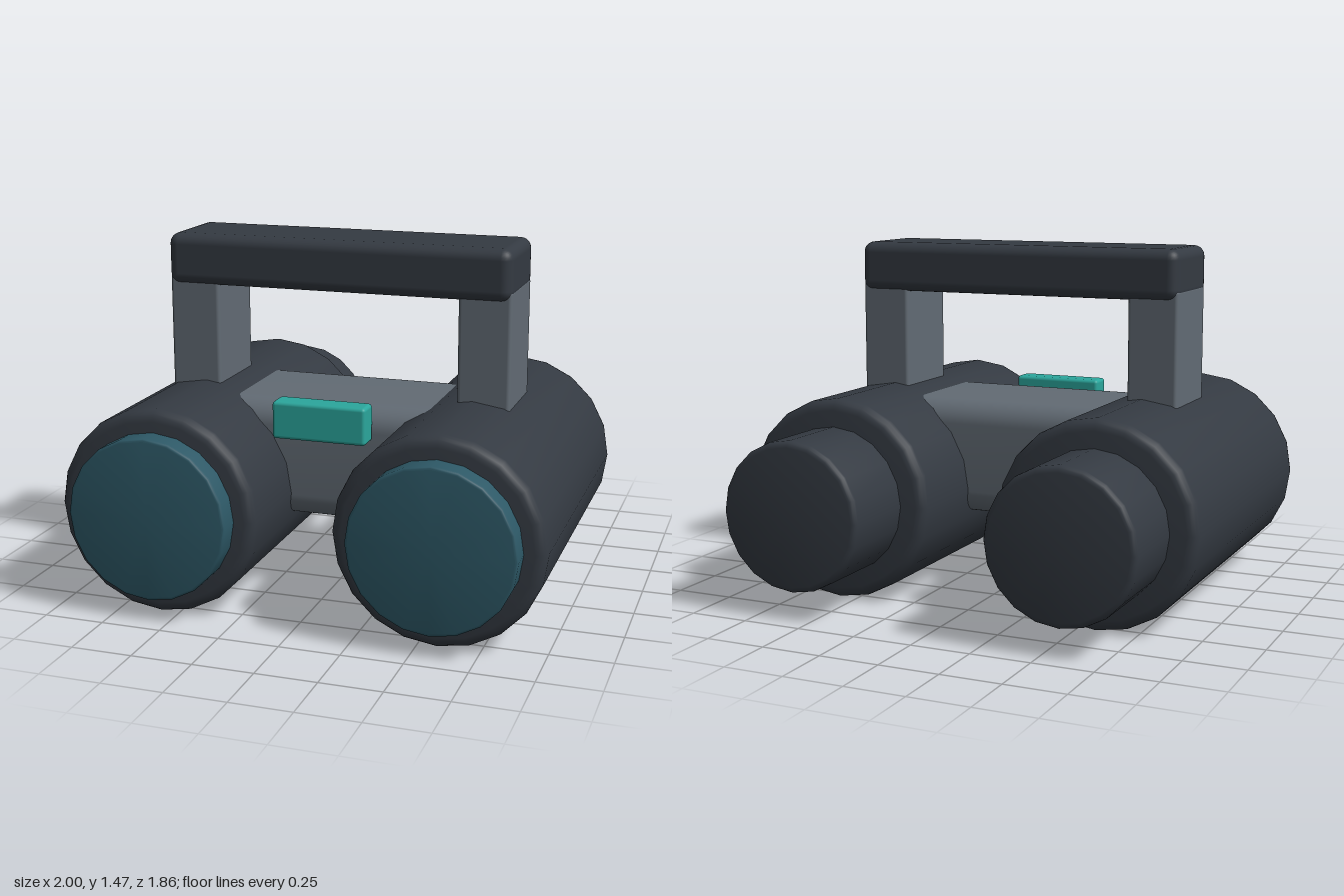
import * as THREE from 'three';
import { toCreasedNormals } from 'three/addons/utils/BufferGeometryUtils.js';
import { RoundedBoxGeometry } from 'three/addons/geometries/RoundedBoxGeometry.js';

const material = (name, color) => {
  const m = new THREE.MeshStandardMaterial({ color });
  m.name = name;
  return m;
};

export function createModel() {
  const dark = material('dark rubber', 0x343a42);
  const grey = material('grey metal', 0x626b74);
  const glass = material('blue glass', 0x2d5866);
  const teal = material('teal accent', 0x2ba79d);

  const group = new THREE.Group();
  group.name = 'binoculars';

  const add = (name, geometry, mat, x = 0, y = 0, z = 0) => {
    const mesh = new THREE.Mesh(geometry, mat);
    mesh.name = name;
    mesh.position.set(x, y, z);
    group.add(mesh);
  };

  // Closed cylinder along z with rounded rims
  const tube = (r, z0, z1, bevel) => {
    const points = [new THREE.Vector2(0, z0)];
    const steps = 4;
    for (const end of [0, 1]) {
      for (let i = 0; i <= steps; i++) {
        const a = (end - 1 + i / steps) * Math.PI / 2;
        const centre = end ? z1 - bevel : z0 + bevel;
        points.push(new THREE.Vector2(r - bevel + bevel * Math.cos(a), centre + bevel * Math.sin(a)));
      }
    }
    points.push(new THREE.Vector2(0, z1));
    const geometry = new THREE.LatheGeometry(points, 20).rotateX(Math.PI / 2);
    return toCreasedNormals(geometry, Math.PI / 6);
  };

  // Rounded box given by its min and max corners
  const block = (name, mat, min, max, radius) => {
    const size = max.map((v, i) => v - min[i]);
    const mid = max.map((v, i) => (v + min[i]) / 2);
    add(name, new RoundedBoxGeometry(...size, 3, radius), mat, ...mid);
  };

  // Mirrored barrels, lenses, eyepieces and handle posts
  for (const [side, s] of [['left', 1], ['right', -1]]) {
    const x = s * 0.577, y = 0.425;
    add(side + 'Barrel', tube(0.423, -0.575, 0.84, 0.045), dark, x, y);
    add(side + 'Lens', tube(0.335, 0.7, 0.932, 0.012), glass, x, y);
    add(side + 'Eyepiece', tube(0.309, -0.932, -0.45, 0.025), dark, x, y);
    block(side + 'HandlePost', grey,
      [s * 0.62 - 0.108, 0.68, -0.045], [s * 0.62 + 0.108, 1.3, 0.31], 0.015);
  }

  // Bridge between the barrels, rounded around the x axis
  const bz = 0.305, by = 0.245, br = 0.1;
  const section = new THREE.Shape();
  section.moveTo(bz, by - br);
  section.absarc(bz - br, by - br, br, 0, Math.PI / 2);
  section.absarc(br - bz, by - br, br, Math.PI / 2, Math.PI);
  section.absarc(br - bz, br - by, br, Math.PI, Math.PI * 1.5);
  section.absarc(bz - br, br - by, br, Math.PI * 1.5, Math.PI * 2);
  const bridge = new THREE.ExtrudeGeometry(section, { depth: 1, bevelEnabled: false, curveSegments: 5 });
  bridge.translate(0, 0, -0.5).rotateY(Math.PI / 2);
  add('bridge', toCreasedNormals(bridge, Math.PI / 6), grey, 0, 0.565, 0.125);

  // Carrying handle and front button
  block('handleBar', dark, [-0.729, 1.255, -0.065], [0.729, 1.467, 0.332], 0.045);
  block('frontButton', teal, [-0.197, 0.685, 0.427], [0.197, 0.84, 0.53], 0.015);

  return group;
}
